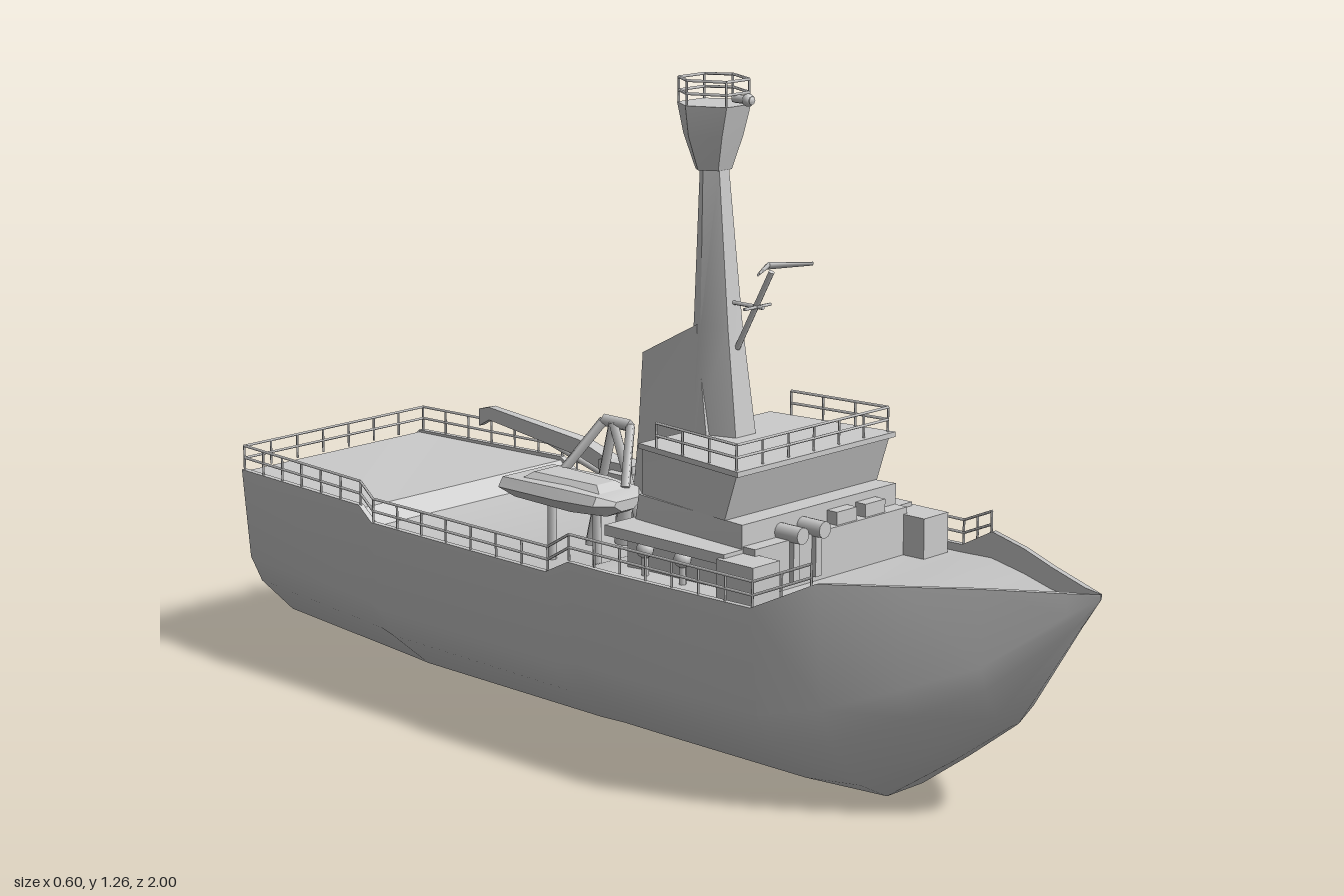
import * as THREE from 'three';
import { toCreasedNormals } from 'three/addons/utils/BufferGeometryUtils.js';

const material = new THREE.MeshStandardMaterial({ color: 0xcccccc, side: THREE.DoubleSide });
const V = (x, y, z) => new THREE.Vector3(x, y, z);

function add(parent, name, geometry, x = 0, y = 0, z = 0) {
  const mesh = new THREE.Mesh(geometry, material);
  mesh.name = name;
  mesh.position.set(x, y, z);
  parent.add(mesh);
  return mesh;
}

// Skin a list of closed cross-sections and cap both ends
function loft(sections, crease = 0.5) {
  const n = sections[0].length, pos = [];
  const tri = (...p) => p.forEach(v => pos.push(v.x, v.y, v.z));
  const centre = s => s.reduce((c, p) => c.add(p), V(0, 0, 0)).divideScalar(n);
  const first = sections[0], last = sections[sections.length - 1];
  for (let j = 0; j < n; j++) {
    const k = (j + 1) % n;
    for (let i = 0; i < sections.length - 1; i++) {
      const s = sections[i], t = sections[i + 1];
      tri(s[j], t[j], s[k]);
      tri(s[k], t[j], t[k]);
    }
    tri(centre(first), first[j], first[k]);
    tri(centre(last), last[k], last[j]);
  }
  const g = new THREE.BufferGeometry();
  g.setAttribute('position', new THREE.Float32BufferAttribute(pos, 3));
  return toCreasedNormals(g, crease);
}

// Four-sided and six-sided rings for upright bodies, listed from the top down
const quad = (yFront, yBack, wFront, wBack, z0, z1) =>
  [V(wFront, yFront, z1), V(wBack, yBack, z0), V(-wBack, yBack, z0), V(-wFront, yFront, z1)];
const hex = (y, w, z0, z1) => {
  const zm = z0 + (z1 - z0) * 0.4;
  return [V(w, y, zm), V(w * 0.55, y, z0), V(-w * 0.55, y, z0), V(-w, y, zm), V(-w * 0.5, y, z1), V(w * 0.5, y, z1)];
};

// Round bar between two points
function bar(parent, name, a, b, r, sides = 6, rEnd = r) {
  const d = b.clone().sub(a);
  const mesh = add(parent, name, new THREE.CylinderGeometry(rEnd, r, d.length(), sides));
  mesh.position.copy(a).addScaledVector(d, 0.5);
  mesh.quaternion.setFromUnitVectors(V(0, 1, 0), d.normalize());
  return mesh;
}

// Posts with two horizontal rails along a path
function railing(parent, name, path, h = 0.05, spacing = 0.07) {
  const g = new THREE.Group();
  g.name = name;
  parent.add(g);
  const up = (p, f) => p.clone().add(V(0, h * f, 0));
  for (let i = 0; i < path.length - 1; i++) {
    const a = path[i], b = path[i + 1];
    for (const f of [0.5, 1]) bar(g, 'rail', up(a, f), up(b, f), 0.0028, 5);
    const count = Math.max(1, Math.round(a.distanceTo(b) / spacing));
    for (let k = 0; k <= count; k++) {
      const p = a.clone().lerp(b, k / count);
      bar(g, 'railPost', p, up(p, 1), 0.0025, 5);
    }
  }
}

function buildHull(ship) {
  // z, keel height, bulwark height, deck height, half width, keel flatness
  const stations = [
    [1, 0.445, 0.455, 0.45, 0.002, 0.2],
    [0.95, 0.375, 0.453, 0.425, 0.032, 0.1],
    [0.82, 0.18, 0.45, 0.41, 0.105, 0.1],
    [0.7, 0.09, 0.446, 0.4, 0.18, 0.14],
    [0.57, 0, 0.44, 0.39, 0.25, 0.2],
    [0.46, 0, 0.385, 0.37, 0.3, 0.2],
    [0.1, 0, 0.38, 0.365, 0.3, 0.2],
    [0, 0, 0.38, 0.36, 0.298, 0.2],
    [-0.06, 0, 0.35, 0.34, 0.297, 0.2],
    [-0.56, 0, 0.35, 0.34, 0.286, 0.2],
    [-0.6, 0, 0.378, 0.37, 0.283, 0.2],
    [-1, 0.02, 0.375, 0.37, 0.25, 0.2],
  ];
  const sections = stations.map(([z, keel, top, deck, w, flat]) => {
    const at = (fx, fy) => V(w * fx, keel + (top - keel) * fy, z);
    const inner = Math.max(w * 0.5, w - 0.012);
    const half = [at(flat, 0), at(0.5, 0.09), at(0.82, 0.31), at(0.93, 0.47), at(1, 1),
      V(inner, top, z), V(inner, deck, z)];
    return [...half, ...half.map(p => V(-p.x, p.y, p.z)).reverse()];
  });
  add(ship, 'hull', loft(sections, 0.55));

  for (const s of [-1, 1]) {
    railing(ship, 'midRailing', [V(s * 0.25, 0.425, 0.56), V(s * 0.293, 0.382, 0.46),
      V(s * 0.293, 0.382, 0), V(s * 0.29, 0.347, -0.06), V(s * 0.28, 0.347, -0.56),
      V(s * 0.277, 0.375, -0.6), V(s * 0.246, 0.375, -0.995)]);
  }
  railing(ship, 'sternRailing', [V(-0.246, 0.375, -0.995), V(0.246, 0.375, -0.995)]);
}

function buildHouse(ship) {
  add(ship, 'deckHouse', new THREE.BoxGeometry(0.4, 0.09, 0.3), 0, 0.395, 0.21);
  add(ship, 'houseDeck', new THREE.BoxGeometry(0.52, 0.02, 0.3), 0, 0.445, 0.21);
  add(ship, 'houseFront', new THREE.BoxGeometry(0.42, 0.1, 0.04), 0, 0.41, 0.37);
  add(ship, 'upperHouse', loft([quad(0.5, 0.5, 0.212, 0.18, 0.07, 0.36), quad(0.45, 0.45, 0.212, 0.19, 0.07, 0.36)]));
  add(ship, 'bridge', loft([quad(0.59, 0.59, 0.21, 0.175, 0.075, 0.345), quad(0.5, 0.5, 0.21, 0.175, 0.075, 0.315)]));
  add(ship, 'bridgeRoof', loft([quad(0.597, 0.597, 0.217, 0.18, 0.07, 0.353), quad(0.587, 0.587, 0.217, 0.18, 0.07, 0.353)]));
  railing(ship, 'roofRailing', [V(-0.185, 0.597, 0.12), V(-0.208, 0.597, 0.342),
    V(0.208, 0.597, 0.342), V(0.185, 0.597, 0.12)], 0.047);

  // Fittings ahead of the bridge
  for (const x of [-0.11, -0.05]) {
    const drum = add(ship, 'frontDrum', new THREE.CylinderGeometry(0.016, 0.016, 0.06, 12), x, 0.47, 0.385);
    drum.rotation.x = Math.PI / 2;
    add(ship, 'drumStand', new THREE.BoxGeometry(0.016, 0.08, 0.02), x, 0.42, 0.39);
  }
  for (const x of [0.045, 0.125]) {
    add(ship, 'frontLocker', new THREE.BoxGeometry(0.056, 0.03, 0.025), x, 0.47, 0.372);
  }
  for (const s of [-1, 1]) {
    add(ship, 'sideLocker', new THREE.BoxGeometry(0.07, 0.085, 0.09), s * 0.235, 0.405, 0.395);
    for (const z of [0.13, 0.225]) {
      add(ship, 'ventBall', new THREE.SphereGeometry(0.017, 10, 8), s * 0.225, 0.415, z);
      bar(ship, 'ventStem', V(s * 0.225, 0.36, z), V(s * 0.225, 0.415, z), 0.007);
    }
  }
}

function buildMast(ship) {
  add(ship, 'funnel', loft([quad(0.8, 0.73, 0.036, 0.046, -0.05, 0.08),
    quad(0.6, 0.58, 0.052, 0.056, -0.052, 0.12), quad(0.35, 0.35, 0.08, 0.075, -0.06, 0.14)], 0.9));
  add(ship, 'mast', loft([hex(1.1, 0.026, 0.068, 0.115), hex(0.8, 0.04, 0.06, 0.145),
    hex(0.58, 0.056, 0.03, 0.175)], 0.9));
  add(ship, 'lookout', loft([hex(1.212, 0.065, 0.03, 0.152), hex(1.155, 0.058, 0.042, 0.137),
    hex(1.09, 0.037, 0.062, 0.118)], 0.7));
  const ring = hex(1.21, 0.062, 0.033, 0.149);
  railing(ship, 'lookoutRailing', [...ring, ring[0]], 0.048, 0.06);
  bar(ship, 'lampArm', V(0, 1.225, 0.14), V(0, 1.225, 0.185), 0.008, 8);
  add(ship, 'lamp', new THREE.SphereGeometry(0.012, 10, 8), 0, 1.225, 0.175);

  // Radar outrigger with swept arms
  bar(ship, 'radarStrut', V(0, 0.76, 0.15), V(0, 0.915, 0.235), 0.006);
  bar(ship, 'radarBrace', V(0, 0.845, 0.12), V(0, 0.845, 0.215), 0.004);
  bar(ship, 'radarCrossbar', V(-0.036, 0.845, 0.2), V(0.036, 0.845, 0.2), 0.003);
  for (const s of [-1, 1]) {
    bar(ship, 'radarArm', V(0, 0.925, 0.225), V(s * 0.074, 0.925, 0.27), 0.008, 6, 0.004).scale.z = 0.6;
  }
}

function buildBoat(ship, s) {
  const boat = new THREE.Group();
  boat.name = 'boat';
  boat.position.set(s * 0.195, 0, 0);
  ship.add(boat);
  // z, half width, bottom, top, from bow to stern
  const body = [[0.056, 0.035, 0.47, 0.49], [0.03, 0.066, 0.458, 0.5], [-0.06, 0.078, 0.452, 0.503], [-0.21, 0.078, 0.455, 0.5]];
  add(boat, 'boatHull', loft(body.map(([z, w, b, t]) => {
    const m = b + (t - b) * 0.6;
    return [V(w * 0.45, b, z), V(w, m, z), V(w * 0.85, t, z), V(-w * 0.85, t, z), V(-w, m, z), V(-w * 0.45, b, z)];
  })));
  add(boat, 'boatCover', loft([quad(0.512, 0.512, 0.025, 0.032, -0.16, 0),
    quad(0.497, 0.497, 0.042, 0.05, -0.18, 0.025)]));
  for (const z of [-0.14, -0.02]) {
    bar(ship, 'boatSupport', V(s * 0.2, 0.34, z), V(s * 0.2, 0.465, z), 0.009);
  }
  // Davit: A-frame with arms reaching over the boat
  const apex = V(s * 0.105, 0.6, -0.07);
  bar(ship, 'davitLeg', V(s * 0.1, 0.35, 0.02), apex, 0.012, 4);
  bar(ship, 'davitLeg', V(s * 0.1, 0.35, -0.14), apex, 0.012, 4);
  bar(ship, 'davitHead', V(s * 0.1, 0.6, -0.03), V(s * 0.1, 0.6, -0.1), 0.012, 4);
  for (const [z0, z1] of [[-0.03, 0.02], [-0.1, -0.15]]) {
    bar(ship, 'davitArm', V(s * 0.1, 0.6, z0), V(s * 0.165, 0.5, z1), 0.01, 4);
  }
}

function buildCrane(ship) {
  const x = -0.015;
  add(ship, 'cranePedestal', new THREE.CylinderGeometry(0.02, 0.028, 0.13, 10), x, 0.4, -0.12);
  add(ship, 'craneHead', new THREE.BoxGeometry(0.05, 0.05, 0.09), x, 0.475, -0.13);
  add(ship, 'craneCab', new THREE.BoxGeometry(0.03, 0.05, 0.06), x - 0.03, 0.46, -0.11);
  // Tapered jib running aft
  const jib = [[-0.14, 0.018, 0.465, 0.495], [-0.24, 0.013, 0.492, 0.525], [-0.5, 0.009, 0.522, 0.548], [-0.53, 0.008, 0.505, 0.54]];
  add(ship, 'craneJib', loft(jib.map(([z, w, b, t]) =>
    [V(x + w, b, z), V(x + w, t, z), V(x - w, t, z), V(x - w, b, z)])));
  bar(ship, 'craneRam', V(x, 0.455, -0.15), V(x, 0.505, -0.34), 0.007, 8);
}

export function createModel() {
  const ship = new THREE.Group();
  ship.name = 'ship';
  buildHull(ship);
  buildHouse(ship);
  buildMast(ship);
  for (const s of [-1, 1]) buildBoat(ship, s);
  buildCrane(ship);
  return ship;
}
